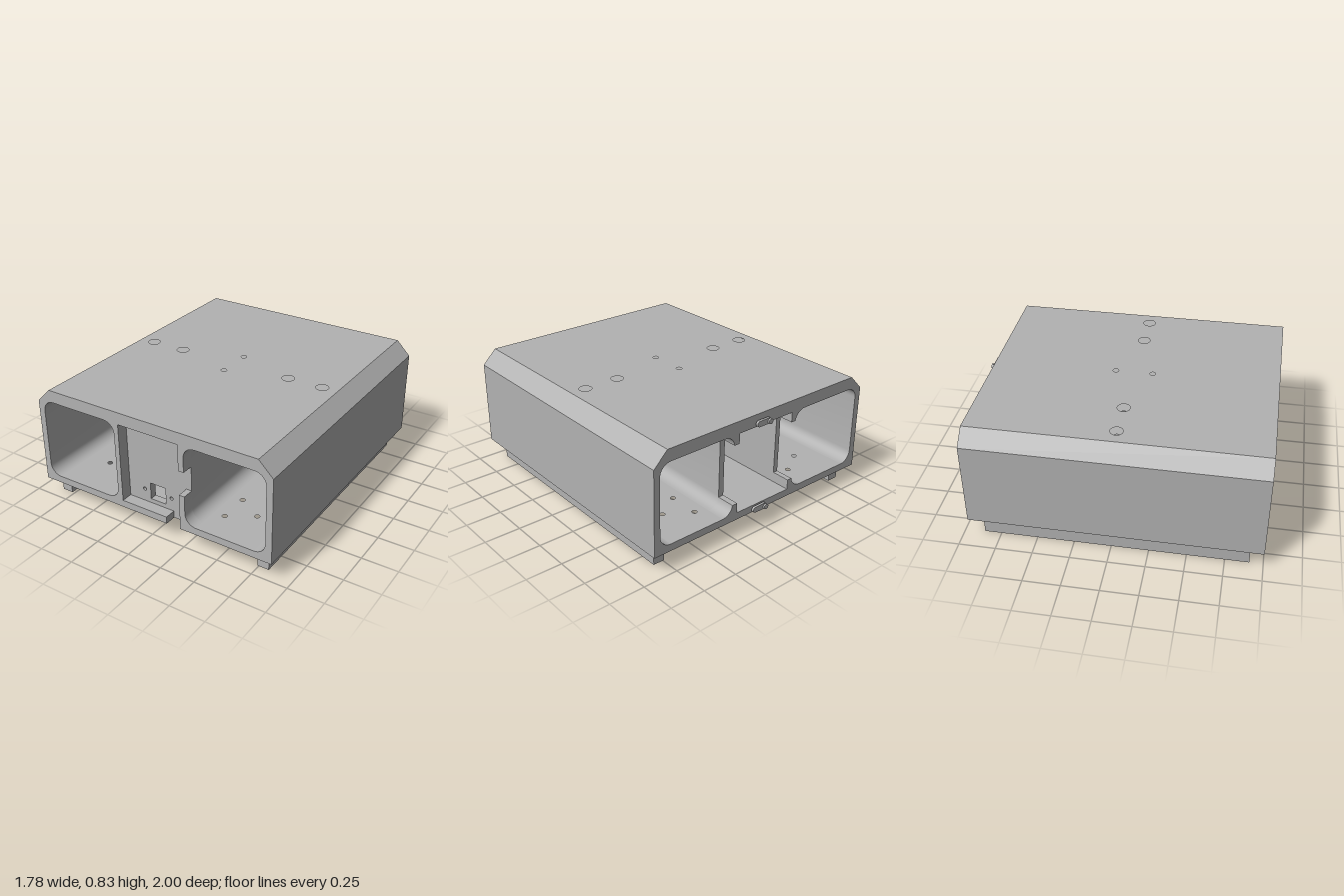
import * as THREE from 'three';
import { toCreasedNormals } from 'three/addons/utils/BufferGeometryUtils.js';

const CX = -0.0025;                       // body centre line
const HALF = 0.8925, FLOOR = 0.18, CEIL = 0.745, R = 0.08;
const BACK = -0.96, FRONT = 1;
const INNER = 0.2275, TUBE_IN = 0.265, TUBE_OUT = 0.8475;

export function createModel() {
  const model = new THREE.Group();
  const grey = new THREE.MeshStandardMaterial({ color: 0xb2b2b2 });
  grey.name = 'plain grey';

  const add = (name, geo, parent = model) => {
    const mesh = new THREE.Mesh(toCreasedNormals(geo, 0.5), grey);
    mesh.name = name;
    parent.add(mesh);
    return mesh;
  };
  const poly = (pts) => new THREE.Shape(pts.map(([x, y]) => new THREE.Vector2(x, y)));
  const circle = (x, y, r) => new THREE.Path().absarc(x, y, r, 0, Math.PI * 2, true);
  // Extrude an x/y outline between two depths
  const alongZ = (shape, z0, z1) =>
    new THREE.ExtrudeGeometry(shape, { depth: z1 - z0, bevelEnabled: false, curveSegments: 8 }).translate(0, 0, z0);
  // Extrude an x/z outline between two heights; holes are [x, z, radius]
  const plate = (pts, holes, y0, y1) => {
    const shape = poly(pts.map(([x, z]) => [x, -z]));
    holes.forEach(([x, z, r]) => shape.holes.push(circle(x, -z, r)));
    return new THREE.ExtrudeGeometry(shape, { depth: y1 - y0, bevelEnabled: false, curveSegments: 8 })
      .rotateX(-Math.PI / 2).translate(0, y0, 0);
  };
  // How far a rounded tube corner reaches sideways at height y
  const fillet = (y) => {
    const d = Math.min(y - FLOOR, CEIL - y);
    return d >= R ? 0 : R - Math.sqrt(Math.max(0, R * R - (R - d) ** 2));
  };
  // Heights that sample both rounded corners evenly
  const heights = [];
  for (let i = 0; i <= 8; i++) heights.push(FLOOR + R - R * Math.cos((i / 8) * Math.PI / 2));
  for (let i = 0; i <= 8; i++) heights.push(CEIL - R + R * Math.sin((i / 8) * Math.PI / 2));
  const between = (y0, y1) => [y0, ...heights.filter((y) => y > y0 + 1e-4 && y < y1 - 1e-4), y1];

  // Floor with front notch and four groups of screw holes
  const floorHoles = [];
  for (const s of [-1, 1]) for (const z of [-0.675, 0.685]) {
    floorHoles.push([s * 0.6, z, 0.017], [s * 0.425, z - 0.107, 0.017], [s * 0.425, z + 0.107, 0.017]);
  }
  add('floor', plate([
    [CX - HALF, BACK], [CX + HALF, BACK], [CX + HALF, FRONT], [0.225, FRONT],
    [0.225, 0.92], [0.12, 0.92], [0.12, FRONT], [CX - HALF, FRONT],
  ], floorHoles, 0.13, FLOOR));

  // Roof in two layers, so the outer holes are counterbored
  const roof = [[CX - 0.7925, BACK], [CX + 0.7925, BACK], [CX + 0.7925, FRONT], [CX - 0.7925, FRONT]];
  const roofHoles = (r) => [
    ...[-0.685, -0.43, 0.425, 0.68].map((x) => [x, 0.015, r]),
    [-0.0025, -0.115, 0.02], [-0.0025, 0.14, 0.02],
  ];
  add('roofLower', plate(roof, roofHoles(0.021), CEIL, 0.79));
  add('roofUpper', plate(roof, roofHoles(0.043), 0.79, 0.83));

  for (const s of [-1, 1]) {
    const side = s > 0 ? 'left' : 'right';
    // Outer wall with chamfered top and rounded inside corners
    const inside = between(FLOOR, CEIL).map((y) => [CX + s * (TUBE_OUT - fillet(y)), y]);
    add(side + 'OuterWall', alongZ(poly([
      ...inside, [CX + s * 0.7925, CEIL], [CX + s * 0.7925, 0.83],
      [CX + s * HALF, 0.73], [CX + s * HALF, FLOOR],
    ]), BACK, FRONT));

    // Inner wall: notched at the back, and at the front on the left side
    const wall = new THREE.Group();
    wall.name = side + 'InnerWall';
    model.add(wall);
    const piece = (name, y0, y1, z0, z1) => add(name, alongZ(poly([
      ...between(y0, y1).map((y) => [s * (TUBE_IN + fillet(y)), y]),
      [CX + s * INNER, y1], [CX + s * INNER, y0],
    ]), z0, z1), wall);
    piece('wallMiddle', FLOOR, CEIL, -0.83, 0.92);
    piece('wallBackLower', FLOOR, FLOOR + 0.07, BACK, -0.83);
    piece('wallBackUpper', CEIL - 0.07, CEIL, BACK, -0.83);
    if (s > 0) {
      piece('wallFrontLower', FLOOR, 0.385, 0.92, FRONT);
      piece('wallFrontUpper', 0.56, CEIL, 0.92, FRONT);
    } else piece('wallFront', FLOOR, CEIL, 0.92, FRONT);

    // Runner foot
    const foot = add(side + 'Foot', new THREE.BoxGeometry(0.08, 0.13, 1.775));
    foot.position.set(s * 0.795 - 0.014, 0.065, 0.0225);
  }

  // Recessed front panel with a square socket and two screw holes
  const panel = poly([[-0.23, FLOOR], [0.225, FLOOR], [0.225, CEIL], [-0.23, CEIL]]);
  panel.holes.push(new THREE.Path([[-0.06, 0.21], [-0.06, 0.33], [0.06, 0.33], [0.06, 0.21]]
    .map(([x, y]) => new THREE.Vector2(x, y))));
  panel.holes.push(circle(-0.107, 0.27, 0.013), circle(0.105, 0.27, 0.013));
  add('frontPanel', alongZ(panel, 0.87, 0.92));

  // Turn latches on the back
  for (const y of [0.77, 0.155]) {
    const latch = new THREE.Group();
    latch.name = 'backLatch';
    latch.position.y = y;
    model.add(latch);
    const bar = new THREE.Shape();
    bar.absarc(0.08, 0, 0.02, -Math.PI / 2, Math.PI / 2, false);
    bar.absarc(0, 0, 0.02, Math.PI / 2, Math.PI * 1.5, false);
    add('latchBar', alongZ(bar, -0.984, -0.967), latch);
    add('latchPin', new THREE.CylinderGeometry(0.012, 0.012, 0.035, 20).rotateX(Math.PI / 2)
      .translate(0, 0, -0.9725), latch);
    add('latchHead', new THREE.CylinderGeometry(0.018, 0.018, 0.012, 20).rotateX(Math.PI / 2)
      .translate(0, 0, -0.994), latch);
  }
  return model;
}
